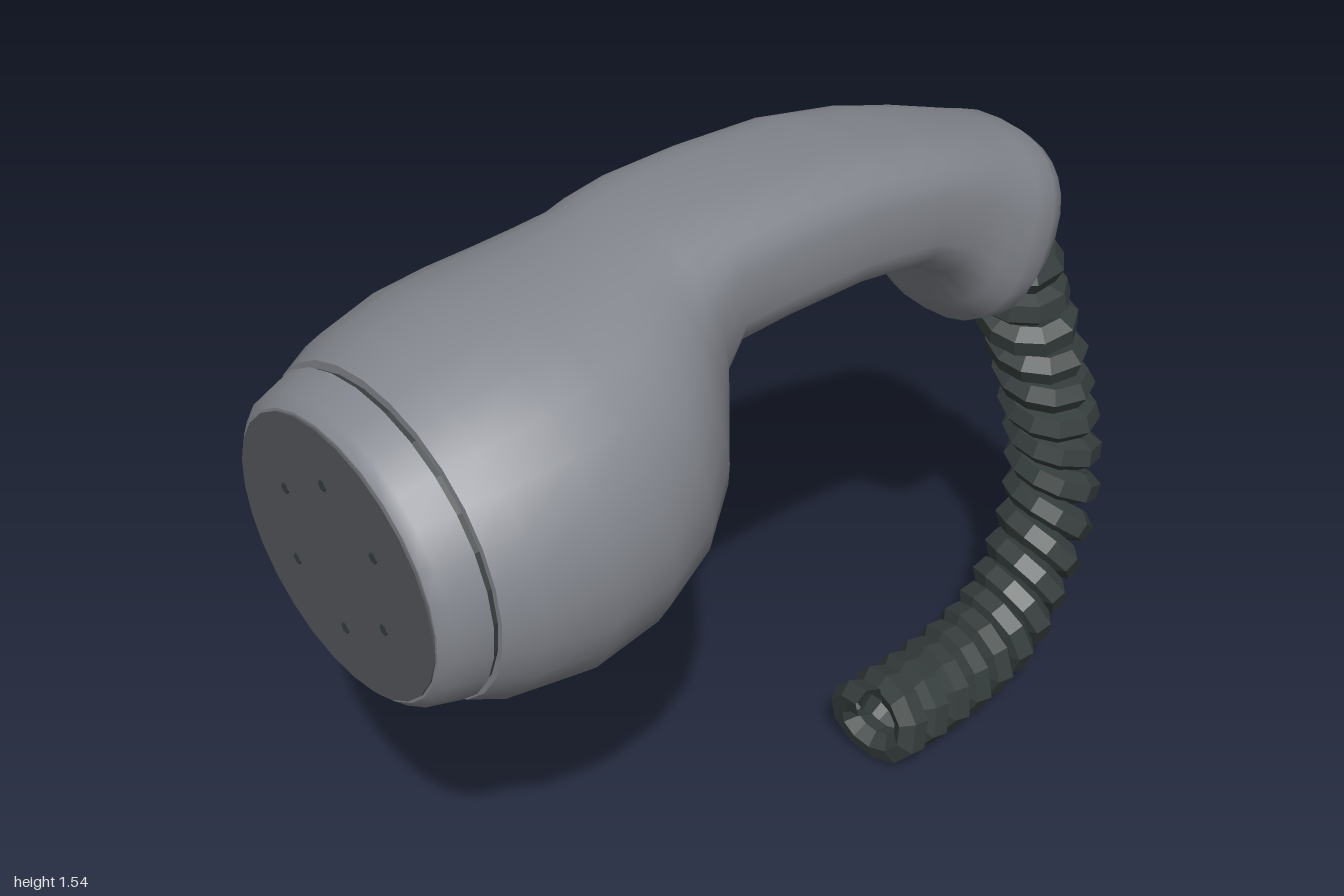
import * as THREE from 'three';

const mat = (name, color, extra = {}) => Object.assign(new THREE.MeshStandardMaterial({ color, ...extra }), { name });

// Lofts sections [topX, topY, bottomX, bottomY, halfWidth, centreZ, squareness] with flat closed ends
function loft(sections, seg = 28) {
  const pos = [], idx = [];
  const point = ([tx, ty, bx, by, w, cz, n], j) => {
    const a = (j / seg) * Math.PI * 2, c = Math.cos(a), s = Math.sin(a);
    const u = Math.sign(c) * Math.abs(c) ** (2 / n) / 2;
    const v = Math.sign(s) * Math.abs(s) ** (2 / n);
    return [(tx + bx) / 2 + (tx - bx) * u, (ty + by) / 2 + (ty - by) * u, cz + w * v];
  };
  const ring = (sec) => {
    const start = pos.length / 3;
    for (let j = 0; j < seg; j++) pos.push(...point(sec, j));
    return start;
  };
  const rings = sections.map(ring);
  for (let i = 0; i + 1 < rings.length; i++) {
    for (let j = 0; j < seg; j++) {
      const k = (j + 1) % seg;
      const a = rings[i] + j, b = rings[i] + k, c = rings[i + 1] + j, d = rings[i + 1] + k;
      idx.push(a, b, c, b, d, c);
    }
  }
  // End caps with their own vertices so the rim stays sharp
  [sections[0], sections[sections.length - 1]].forEach((sec, end) => {
    const start = ring(sec), centre = pos.length / 3;
    pos.push((sec[0] + sec[2]) / 2, (sec[1] + sec[3]) / 2, sec[5]);
    for (let j = 0; j < seg; j++) {
      const a = start + j, b = start + (j + 1) % seg;
      idx.push(centre, end ? a : b, end ? b : a);
    }
  });
  const g = new THREE.BufferGeometry();
  g.setAttribute('position', new THREE.Float32BufferAttribute(pos, 3));
  g.setIndex(idx);
  g.computeVertexNormals();
  return g;
}

// Wire wound around a centre line
class CoilCurve extends THREE.Curve {
  constructor(path, turns) {
    super();
    this.path = path;
    this.turns = turns;
  }
  getPoint(t, target = new THREE.Vector3()) {
    const tangent = this.path.getTangentAt(t);
    const side = new THREE.Vector3(0, 0, 1);
    const normal = new THREE.Vector3().crossVectors(tangent, side).normalize();
    const a = this.turns * (0.8 * t + 0.2 * t * t) * Math.PI * 2;
    return target.copy(this.path.getPointAt(t))
      .addScaledVector(normal, Math.cos(a) * 0.066)
      .addScaledVector(side, Math.sin(a) * 0.083);
  }
}

export function createModel() {
  const group = new THREE.Group();
  const shell = mat('shell grey', 0x83868d);
  const faceGrey = mat('mouthpiece grey', 0x56575b);
  const cordDark = mat('cord dark', 0x353d3c, { flatShading: true, side: THREE.DoubleSide });
  const add = (name, geometry, material) => {
    const m = new THREE.Mesh(geometry, material);
    m.name = name;
    group.add(m);
    return m;
  };

  // Round mouthpiece, squared grip and hooked earpiece in one shell
  add('handsetShell', loft([
    [-0.9, 1.445, -0.895, 0.835, 0.335, 0, 2],
    [-0.84, 1.475, -0.83, 0.805, 0.365, 0, 2],
    [-0.72, 1.5, -0.69, 0.79, 0.39, 0, 2.05],
    [-0.62, 1.51, -0.54, 0.815, 0.385, 0, 2.05],
    [-0.53, 1.515, -0.42, 0.885, 0.355, 0, 2.1],
    [-0.46, 1.522, -0.33, 0.985, 0.305, -0.005, 2.2],
    [-0.4, 1.528, -0.285, 1.09, 0.255, -0.015, 2.3],
    [-0.34, 1.533, -0.268, 1.2, 0.225, -0.025, 2.5],
    [-0.25, 1.54, -0.22, 1.262, 0.205, -0.03, 2.8],
    [-0.1, 1.54, -0.1, 1.268, 0.2, -0.03, 3],
    [0.1, 1.528, 0.08, 1.262, 0.197, -0.033, 3],
    [0.3, 1.485, 0.25, 1.235, 0.194, -0.037, 3],
    [0.42, 1.45, 0.34, 1.175, 0.193, -0.04, 2.8],
    [0.51, 1.42, 0.4, 1.075, 0.197, -0.043, 2.6],
    [0.58, 1.395, 0.44, 1.015, 0.204, -0.045, 2.5],
    [0.63, 1.378, 0.505, 0.998, 0.2, -0.045, 2.5],
    [0.67, 1.345, 0.575, 1.025, 0.175, -0.045, 2.4],
    [0.695, 1.3, 0.645, 1.105, 0.12, -0.045, 2.2],
    [0.705, 1.255, 0.69, 1.19, 0.04, -0.045, 2],
  ]), shell);

  // Mouthpiece cap, its seam and its flat face
  add('capSeam', loft([
    [-0.92, 1.425, -0.912, 0.85, 0.32, 0, 2],
    [-0.89, 1.43, -0.885, 0.845, 0.325, 0, 2],
  ]), cordDark);
  add('mouthpieceCap', loft([
    [-0.996, 1.4, -0.985, 0.868, 0.285, 0, 2],
    [-0.978, 1.42, -0.967, 0.852, 0.305, 0, 2],
    [-0.914, 1.437, -0.906, 0.84, 0.33, 0, 2],
  ]), shell);
  add('mouthpieceFace', loft([
    [-1.0, 1.395, -0.989, 0.873, 0.28, 0, 2],
    [-0.995, 1.395, -0.984, 0.873, 0.28, 0, 2],
  ]), faceGrey);

  // Small sound holes on the mouthpiece face
  for (let i = 0; i < 6; i++) {
    const a = (i / 6) * Math.PI * 2;
    const y = 1.134 + Math.cos(a) * 0.15;
    const hole = add('soundHole', new THREE.CylinderGeometry(0.011, 0.011, 0.004, 6), cordDark);
    hole.rotation.z = Math.PI / 2;
    hole.position.set(-0.9945 - (y - 1.134) * 0.021, y, Math.sin(a) * 0.15);
  }

  // Plug joining the cord to the earpiece
  const from = new THREE.Vector3(0.62, 1.17, -0.05), to = new THREE.Vector3(0.745, 0.98, -0.065);
  const plug = add('cordPlug', new THREE.CylinderGeometry(0.045, 0.05, from.distanceTo(to), 7), cordDark);
  plug.position.copy(from).lerp(to, 0.5);
  plug.quaternion.setFromUnitVectors(new THREE.Vector3(0, 1, 0), from.clone().sub(to).normalize());

  // Coiled cord
  const path = new THREE.CatmullRomCurve3([
    [0.71, 1.04, -0.065], [0.765, 0.89, -0.07], [0.82, 0.76, -0.07], [0.86, 0.62, -0.062],
    [0.882, 0.49, -0.05], [0.85, 0.35, -0.02], [0.75, 0.225, 0.015], [0.62, 0.14, 0.045],
    [0.45, 0.105, 0.06], [0.2, 0.103, 0.07],
  ].map((p) => new THREE.Vector3(...p)));
  const turns = 18;
  add('coiledCord', new THREE.TubeGeometry(new CoilCurve(path, turns), turns * 10, 0.038, 6), cordDark);

  return group;
}
